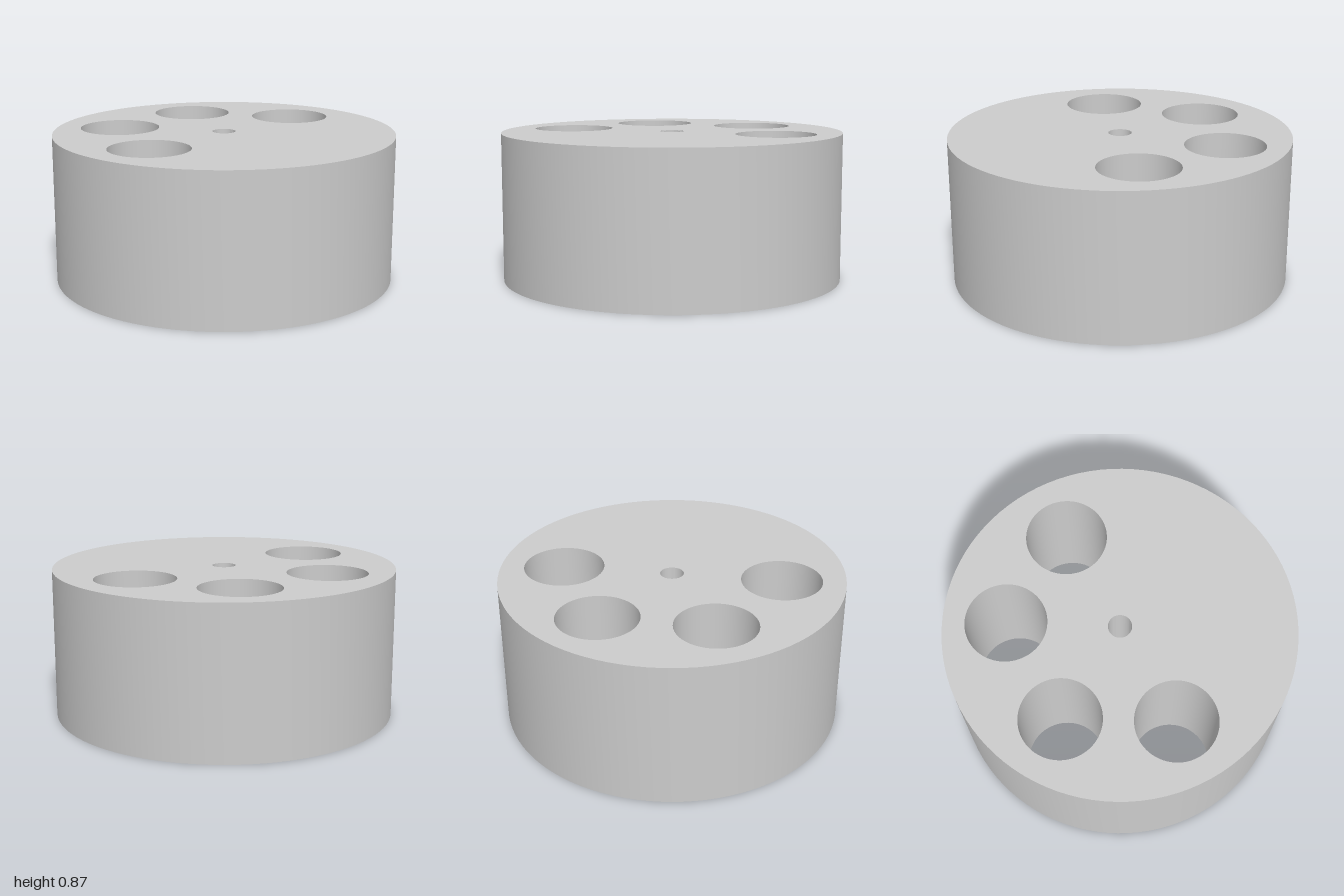
import * as THREE from 'three';
import { toCreasedNormals } from 'three/addons/utils/BufferGeometryUtils.js';

const HEIGHT = 0.866;

// Circle on the plan, with z pointing to the front
function circle(PathType, x, z, radius) {
  const path = new PathType();
  path.absarc(x, -z, radius, 0, Math.PI * 2, false);
  return path;
}

export function createModel() {
  const group = new THREE.Group();
  group.name = 'drilledCylinder';

  // Round body outline
  const outline = circle(THREE.Shape, 0, 0, 1);

  // Central shaft bore
  outline.holes.push(circle(THREE.Path, 0, 0, 0.068));

  // Four large through holes around the back half
  const bores = [[0.633, 0], [0.333, -0.548], [-0.312, -0.548], [-0.633, 0]];
  for (const [x, z] of bores) {
    outline.holes.push(circle(THREE.Path, x, z, 0.233));
  }

  // Extrude upwards, smooth walls with sharp rims
  const extruded = new THREE.ExtrudeGeometry(outline, {
    depth: HEIGHT,
    bevelEnabled: false,
    curveSegments: 48,
  });
  extruded.rotateX(-Math.PI / 2);
  const geometry = toCreasedNormals(extruded, Math.PI / 6);

  const body = new THREE.Mesh(geometry, new THREE.MeshStandardMaterial({ color: 0xcccccc }));
  body.name = 'body';
  group.add(body);

  return group;
}
